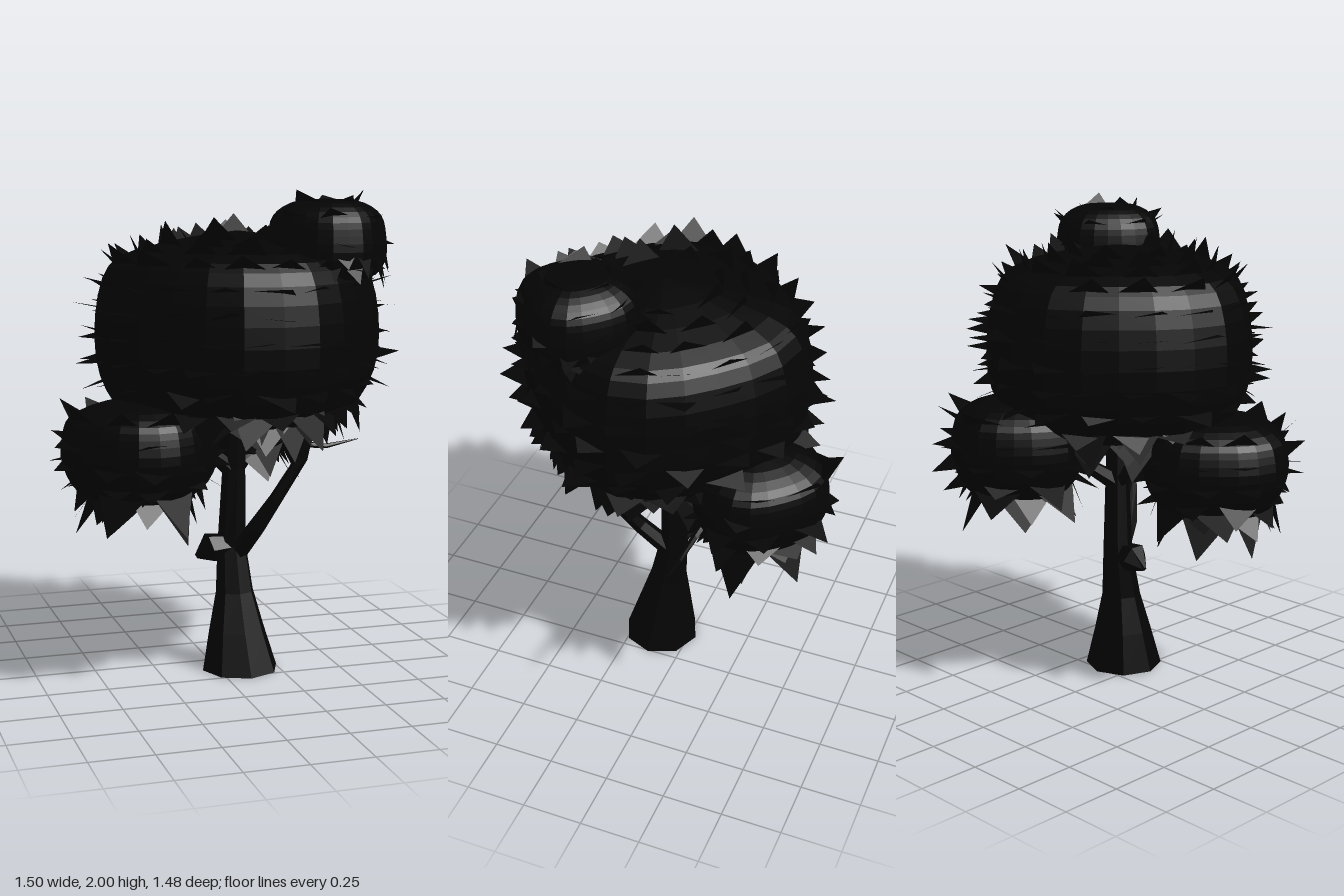
import * as THREE from 'three';

const foliageBlack = new THREE.MeshStandardMaterial({ color: 0x040404, flatShading: true, side: THREE.DoubleSide });
foliageBlack.name = 'foliage black';
const barkBlack = new THREE.MeshStandardMaterial({ color: 0x040404, flatShading: true });
barkBlack.name = 'bark black';

// seeded random numbers
let seed = 7;
const rand = () => (seed = (seed * 16807) % 2147483647) / 2147483647;

// clumps are slightly drawn in on their diagonals
const plan = (a) => 1 - 0.08 * Math.sin(2 * a) ** 2;

function addMesh(group, name, geometry, material) {
  const mesh = new THREE.Mesh(geometry, material);
  mesh.name = name;
  group.add(mesh);
}

// tapered limb through stations [x, y, z, radius]
function limbGeometry(stations, sides, level = false) {
  const points = stations.map(([x, y, z]) => new THREE.Vector3(x, y, z));
  const up = new THREE.Vector3(0, 1, 0);
  const pos = [], index = [];
  const last = points.length - 1;
  points.forEach((p, i) => {
    const dir = points[Math.min(i + 1, last)].clone().sub(points[Math.max(i - 1, 0)]).normalize();
    const turn = new THREE.Quaternion().setFromUnitVectors(up, level ? up : dir);
    for (let s = 0; s < sides; s++) {
      const a = (s / sides) * Math.PI * 2;
      const v = new THREE.Vector3(Math.sin(a), 0, Math.cos(a)).multiplyScalar(stations[i][3]);
      pos.push(...v.applyQuaternion(turn).add(p).toArray());
      if (i < last) {
        const b = i * sides + s, c = i * sides + ((s + 1) % sides);
        index.push(b, c, c + sides, b, c + sides, b + sides);
      }
    }
  });
  // end caps
  for (let s = 1; s < sides - 1; s++) {
    const t = last * sides;
    index.push(0, s + 1, s, t, t + s, t + s + 1);
  }
  const geo = new THREE.BufferGeometry();
  geo.setAttribute('position', new THREE.Float32BufferAttribute(pos, 3));
  geo.setIndex(index);
  geo.computeVertexNormals();
  return geo;
}

// rounded clump body from a profile curve
function bodyGeometry(curve) {
  const points = curve.getPoints(20).map((p) => p.setX(Math.max(p.x, 0)));
  const geo = new THREE.LatheGeometry(points, 24);
  const pos = geo.attributes.position;
  for (let i = 0; i < pos.count; i++) {
    const k = plan(Math.atan2(pos.getX(i), pos.getZ(i)));
    pos.setX(i, pos.getX(i) * k);
    pos.setZ(i, pos.getZ(i) * k);
  }
  geo.computeVertexNormals();
  return geo;
}

// rings of broad pointed leaves standing out from the profile
function leafGeometry(curve, { rings, from, to, width, length, droop }) {
  const pos = [];
  const ring = (t, toothWidth, toothLength, hanging) => {
    const p = curve.getPointAt(t), tan = curve.getTangentAt(t);
    const out = new THREE.Vector2(tan.y, -tan.x);
    if (hanging) out.set(0.25, -1).normalize();
    const count = Math.max(5, Math.round((p.x * Math.PI * 2) / toothWidth));
    const start = rand() * 6;
    const put = (a, r, y) => pos.push(Math.sin(a) * r * plan(a), y, Math.cos(a) * r * plan(a));
    for (let i = 0; i < count; i++) {
      const a = start + (i / count) * Math.PI * 2, half = Math.PI / count;
      const l = toothLength * (0.5 + 0.8 * rand());
      const lift = (rand() - 0.5) * 0.04;
      put(a - half, p.x - out.x * 0.02, p.y - out.y * 0.02 - lift);
      put(a + half, p.x - out.x * 0.02, p.y - out.y * 0.02 + lift);
      put(a + (rand() - 0.5) * half, p.x + out.x * l, p.y + out.y * l + lift);
    }
  };
  for (let i = 0; i < rings; i++) ring(from + ((to - from) * i) / (rings - 1), width, length, false);
  // hanging skirt
  ring(from, droop * 1.6, droop, true);
  ring(from + 0.06, droop * 1.6, droop, true);
  const geo = new THREE.BufferGeometry();
  geo.setAttribute('position', new THREE.Float32BufferAttribute(pos, 3));
  geo.computeVertexNormals();
  return geo;
}

// one clump of foliage: rounded body plus leaf rings
function clump(name, [x, y, z], profile, leaves) {
  const group = new THREE.Group();
  group.name = name;
  group.position.set(x, y, z);
  const curve = new THREE.SplineCurve(profile.map(([r, h]) => new THREE.Vector2(r, h)));
  addMesh(group, name + 'Body', bodyGeometry(curve), foliageBlack);
  addMesh(group, name + 'Leaves', leafGeometry(curve, leaves), foliageBlack);
  return group;
}

export function createModel() {
  seed = 7;
  const tree = new THREE.Group();
  tree.name = 'tree';

  // trunk, flared at the foot
  addMesh(tree, 'trunk', limbGeometry([
    [0.095, 0, 0.13, 0.162], [0.085, 0.17, 0.115, 0.12], [0.08, 0.33, 0.1, 0.081],
    [0.075, 0.52, 0.075, 0.062], [0.083, 0.85, 0.08, 0.05], [0.09, 1.15, 0.09, 0.046],
  ], 8, true), barkBlack);

  // branches
  const branches = {
    frontBranch: [[0.09, 0.48, 0.09, 0.04], [0.14, 0.62, 0.21, 0.035], [0.2, 0.75, 0.28, 0.027], [0.3, 0.92, 0.31, 0.024], [0.34, 1.1, 0.32, 0.02]],
    rightBranch: [[0.07, 0.84, 0.08, 0.04], [-0.03, 0.93, 0.1, 0.03], [-0.28, 1.0, 0.18, 0.02]],
    backBranch: [[0.09, 0.84, 0.06, 0.04], [0.14, 0.94, -0.08, 0.028], [0.22, 1.02, -0.28, 0.02]],
    twig: [[0.28, 0.96, -0.2, 0.02], [0.44, 0.89, -0.16, 0.015], [0.58, 0.875, -0.15, 0.011], [0.73, 0.9, -0.15, 0.002]],
    stub: [[0.06, 0.52, 0.08, 0.05], [-0.02, 0.515, 0.08, 0.064], [-0.08, 0.48, 0.08, 0.01]],
  };
  for (const [name, stations] of Object.entries(branches)) {
    addMesh(tree, name, limbGeometry(stations, 6), barkBlack);
  }

  // foliage clumps
  tree.add(clump('mainCrown', [0.09, 0, 0.1], [
    [0, 1.06], [0.25, 1.05], [0.45, 1.09], [0.54, 1.18], [0.59, 1.32], [0.59, 1.5],
    [0.55, 1.66], [0.46, 1.74], [0.22, 1.8], [0, 1.83],
  ], { rings: 11, from: 0.26, to: 0.86, width: 0.2, length: 0.08, droop: 0.13 }));

  const lobe = [[0, 0.82], [0.18, 0.78], [0.27, 0.83], [0.32, 0.94], [0.315, 1.04], [0.28, 1.11], [0.16, 1.16], [0, 1.17]];
  tree.add(clump('rightLobe', [-0.35, 0, 0.21], lobe,
    { rings: 5, from: 0.26, to: 0.66, width: 0.2, length: 0.08, droop: 0.15 }));
  tree.add(clump('backLobe', [0.23, 0.07, -0.34], lobe.map(([r, h]) => [r * 0.92, h]),
    { rings: 5, from: 0.26, to: 0.66, width: 0.2, length: 0.1, droop: 0.16 }));
  tree.add(clump('topTuft', [0.39, 0, 0.33], [
    [0, 1.64], [0.18, 1.65], [0.24, 1.72], [0.24, 1.82], [0.215, 1.9], [0.13, 1.95], [0, 1.96],
  ], { rings: 4, from: 0.36, to: 0.8, width: 0.18, length: 0.045, droop: 0.06 }));

  return tree;
}
